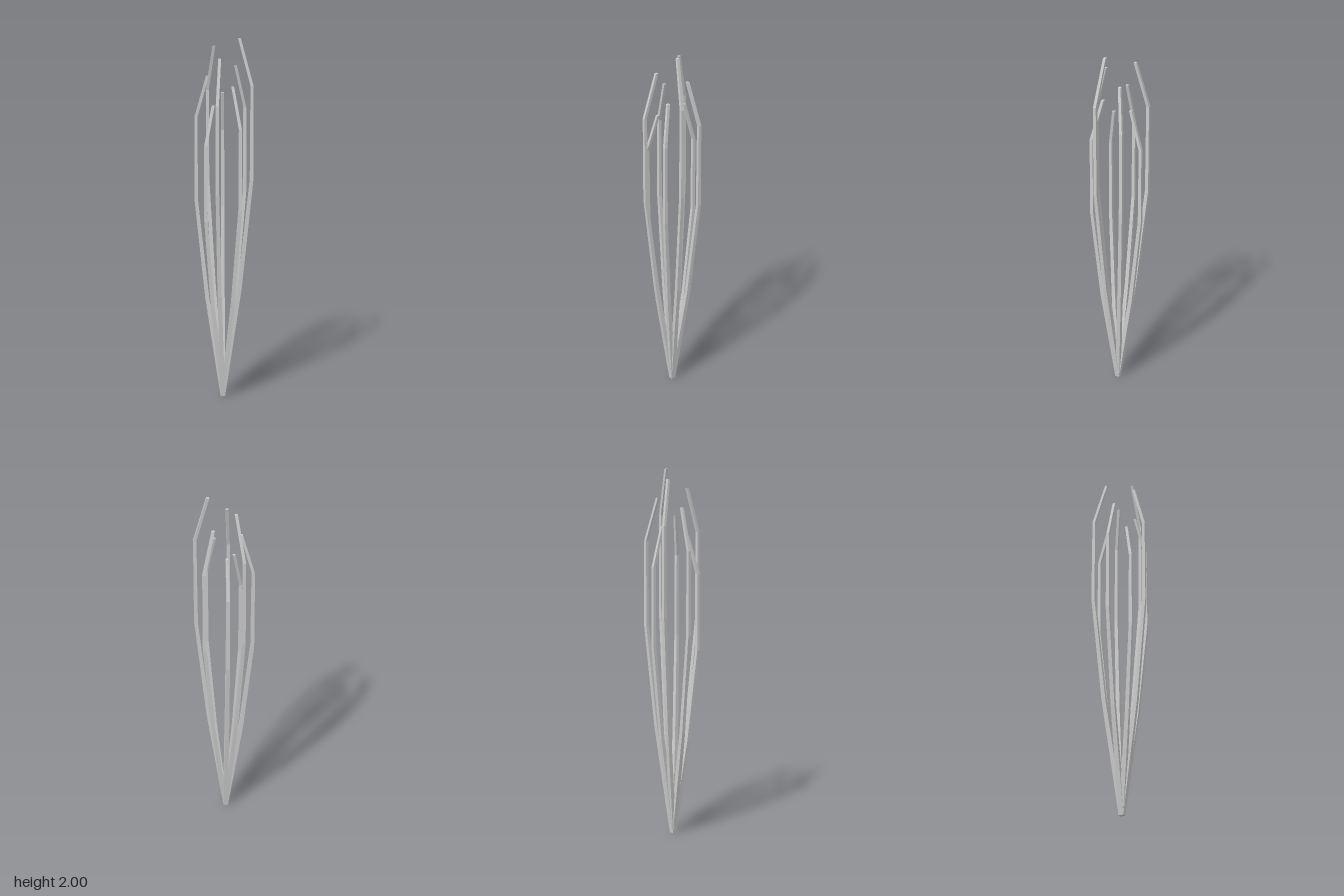
import * as THREE from 'three';

// Each stem: compass angle in degrees (0 = +x, 90 = +z) and height
const STEMS = [
  [6, 1.75], [58, 1.9], [90, 1.65], [143, 1.8],
  [195, 1.95], [227, 1.7], [280.5, 1.85], [-26.6, 2.0],
];

// Profile shared by all stems, as fractions of height: [level, distance from centre]
const PROFILE = [[0, 0], [0.32, 0.048], [0.625, 0.08], [0.875, 0.08], [1, 0.045]];
const BASE_RADIUS = 0.018;
const TIP_RADIUS = 0.0105;

// Four-sided tapering rod whose rings are shifted outwards along the profile
function stemGeometry(angle, height) {
  const rod = new THREE.CylinderGeometry(1, 1, 1, 4, PROFILE.length - 1);
  const pos = rod.attributes.position;
  const dx = Math.cos(angle), dz = Math.sin(angle);
  for (let i = 0; i < pos.count; i++) {
    const ring = Math.round((pos.getY(i) + 0.5) * (PROFILE.length - 1));
    const [level, out] = PROFILE[ring];
    const radius = THREE.MathUtils.lerp(BASE_RADIUS, TIP_RADIUS, level);
    pos.setXYZ(
      i,
      pos.getX(i) * radius + dx * out * height,
      level * height,
      pos.getZ(i) * radius + dz * out * height,
    );
  }
  const geometry = rod.toNonIndexed();
  geometry.computeVertexNormals();
  return geometry;
}

export function createModel() {
  const group = new THREE.Group();
  group.name = 'stemCluster';
  const material = new THREE.MeshStandardMaterial({ color: 0xcccccc, flatShading: true });

  // Ring of stems fanning out of one foot and curling in at the tips
  STEMS.forEach(([degrees, height], i) => {
    const stem = new THREE.Mesh(stemGeometry(THREE.MathUtils.degToRad(degrees), height), material);
    stem.name = `stem${i + 1}`;
    stem.position.set(0.003, 0, 0.003);
    group.add(stem);
  });
  return group;
}
